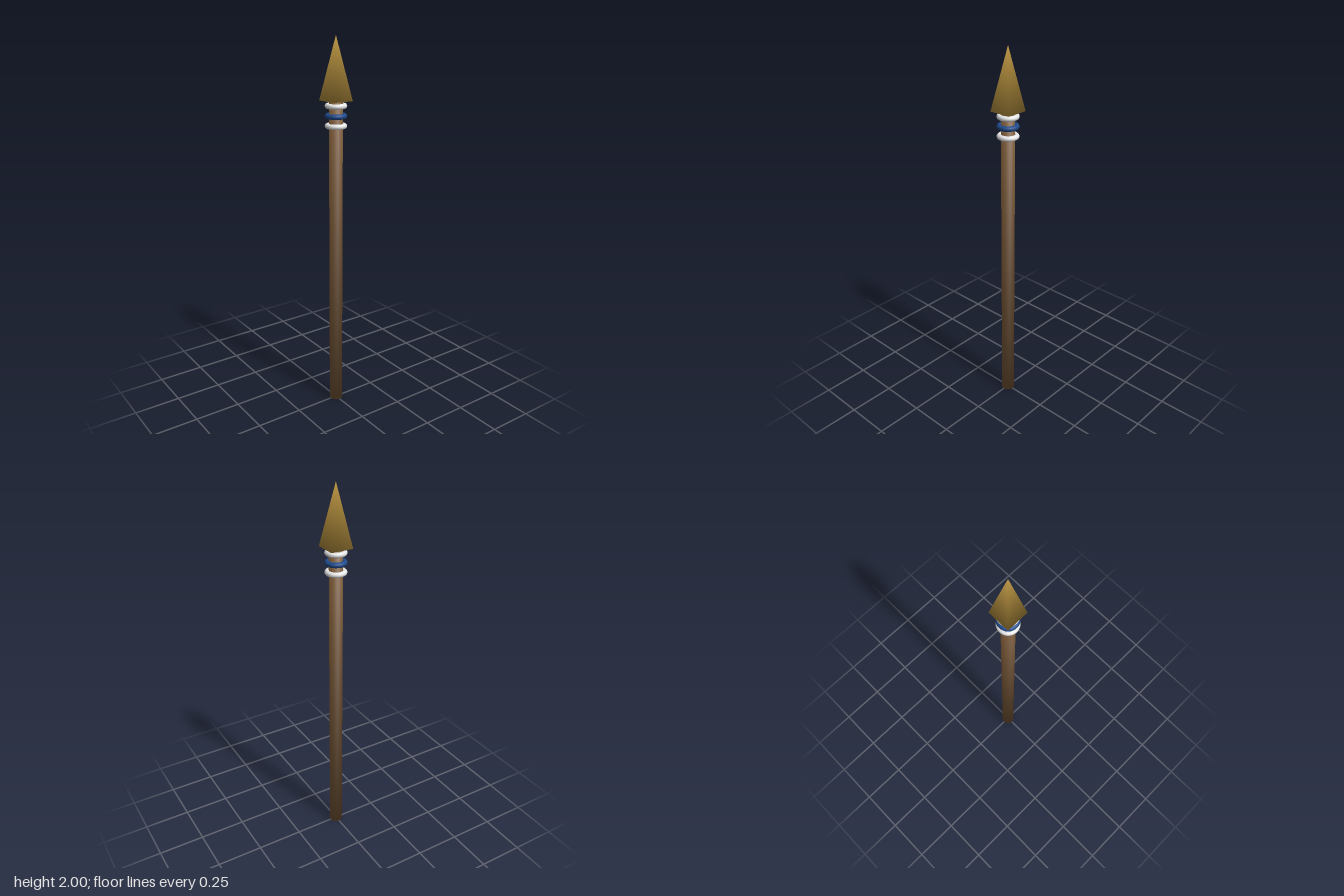
import * as THREE from 'three';
import { mergeVertices } from 'three/addons/utils/BufferGeometryUtils.js';

// Welds all corners and gives each an angle-weighted normal, so shading runs over the edges
function soften(geometry) {
  geometry.deleteAttribute('normal');
  geometry.deleteAttribute('uv');
  const g = mergeVertices(geometry, 1e-4);
  const pos = g.attributes.position, index = g.index;
  const normals = Array.from({ length: pos.count }, () => new THREE.Vector3());
  for (let f = 0; f < index.count; f += 3) {
    const ids = [0, 1, 2].map((k) => index.getX(f + k));
    const p = ids.map((i) => new THREE.Vector3().fromBufferAttribute(pos, i));
    const edge = (a, b) => p[b].clone().sub(p[a]);
    const normal = edge(0, 1).cross(edge(0, 2));
    if (normal.length() < 1e-10) continue;
    normal.normalize();
    for (let k = 0; k < 3; k++) {
      const angle = edge(k, (k + 1) % 3).angleTo(edge(k, (k + 2) % 3));
      normals[ids[k]].addScaledVector(normal, angle);
    }
  }
  const flat = normals.flatMap((n) => n.normalize().toArray());
  g.setAttribute('normal', new THREE.Float32BufferAttribute(flat, 3));
  return g;
}

function material(name, color) {
  const m = new THREE.MeshStandardMaterial({ color });
  m.name = name;
  return m;
}

export function createModel() {
  const model = new THREE.Group();
  model.name = 'spear';
  const wood = material('wood', 0x7b5a38);
  const gold = material('gold', 0xb8923f);
  const white = material('white', 0xe8e8e8);
  const blue = material('blue', 0x1f4a8c);

  const add = (name, geometry, mat, y) => {
    const mesh = new THREE.Mesh(geometry, mat);
    mesh.name = name;
    mesh.position.y = y;
    model.add(mesh);
  };

  // Round shaft standing on the ground
  const shaftHeight = 1.69;
  add('shaft', soften(new THREE.CylinderGeometry(0.035, 0.035, shaftHeight, 24)), wood, shaftHeight / 2);

  // Four-sided spearhead with its flat sides facing front, back, left and right
  const headBase = 1.685, headHeight = 2 - headBase;
  const head = new THREE.ConeGeometry(0.06 * Math.SQRT2, headHeight, 4).rotateY(Math.PI / 4);
  add('spearhead', soften(head), gold, headBase + headHeight / 2);

  // Three binding rings below the head
  const rings = [['upperRing', 1.66, white], ['middleRing', 1.61, blue], ['lowerRing', 1.56, white]];
  for (const [name, y, mat] of rings) {
    add(name, new THREE.TorusGeometry(0.043, 0.0135, 12, 32).rotateX(Math.PI / 2), mat, y);
  }
  return model;
}
